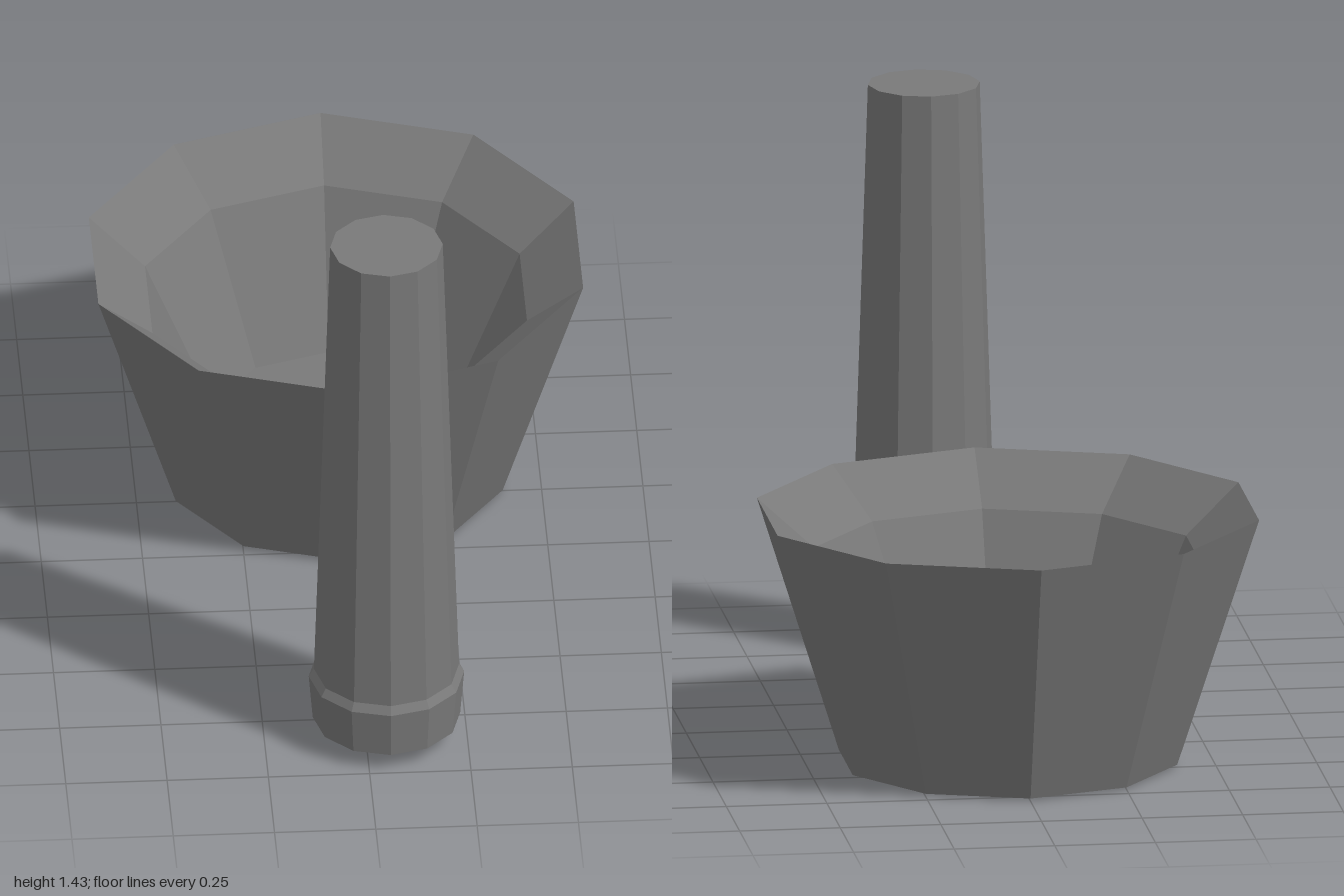
import * as THREE from 'three';

const material = new THREE.MeshStandardMaterial({ color: 0x797979, flatShading: true });

// Faceted solid of revolution; profile is [radius, y] running from the base, outside, to the top or inside
function turned(name, profile, sides, x, z) {
  const points = profile.map(([r, y]) => new THREE.Vector2(r, y));
  const mesh = new THREE.Mesh(new THREE.LatheGeometry(points, sides), material);
  mesh.name = name;
  mesh.position.set(x, 0, z);
  return mesh;
}

export function createModel() {
  const group = new THREE.Group();
  group.name = 'mortarAndPestle';

  // Ten-sided bowl: base, flared wall, sharp rim, sloped lip, inner wall, floor
  group.add(turned('mortarBowl', [
    [0, 0.007], [0.424, 0.007], [0.629, 0.637], [0.486, 0.517], [0.312, 0.14], [0, 0.14],
  ], 10, 0, -0.372));

  // Twelve-sided pestle: blunt tip, grinding head with a small shoulder, tapered handle
  group.add(turned('pestle', [
    [0, 0], [0.072, 0], [0.182, 0.046], [0.192, 0.167], [0.179, 0.188], [0.139, 1.427], [0, 1.427],
  ], 12, 0.053, 0.808));

  return group;
}
